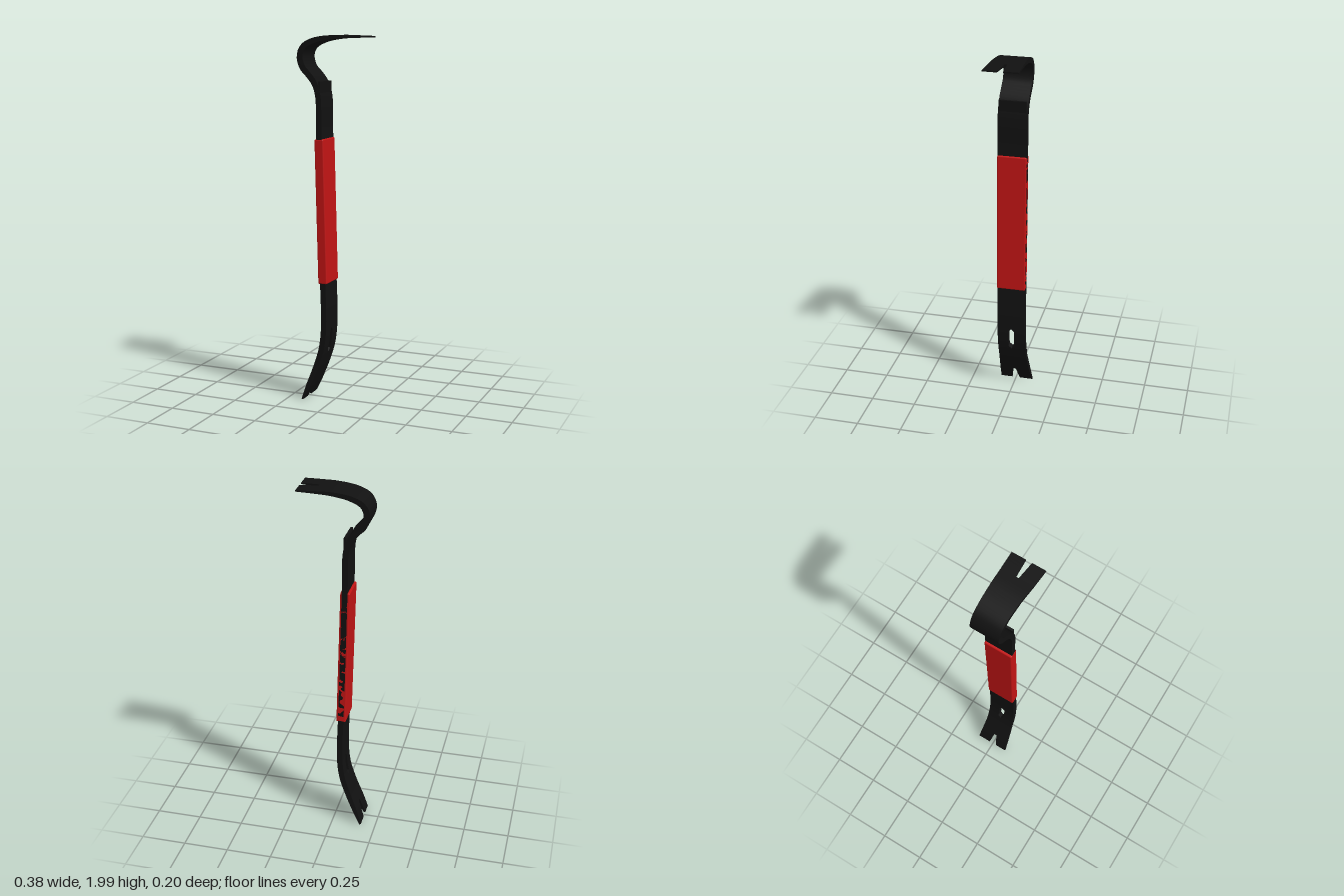
import * as THREE from 'three';
import { toCreasedNormals } from 'three/addons/utils/BufferGeometryUtils.js';
import { RoundedBoxGeometry } from 'three/addons/geometries/RoundedBoxGeometry.js';

// Centre line of the bar in the xy plane, from the lower claw to the hooked claw
const path = new THREE.CatmullRomCurve3([
  [-0.165, 0.005], [-0.125, 0.10], [-0.085, 0.2], [-0.054, 0.3], [-0.041, 0.4], [-0.04, 0.52],
  [-0.046, 0.7], [-0.056, 1.08], [-0.066, 1.5], [-0.071, 1.68], [-0.092, 1.745], [-0.127, 1.79],
  [-0.162, 1.828], [-0.178, 1.888], [-0.157, 1.938], [-0.098, 1.969], [0, 1.986],
  [0.09, 1.988], [0.187, 1.988],
].map(([x, y]) => new THREE.Vector3(x, y, 0)), false, 'centripetal');
path.arcLengthDivisions = 800;
const L = path.getLength();

// Distance along the bar, rear edge z, front edge z, thickness
const profile = [
  [0, -0.098, 0.088, 0.009], [0.08, -0.09, 0.084, 0.024], [0.22, -0.08, 0.078, 0.031],
  [1.7, -0.08, 0.078, 0.031], [L - 0.42, -0.085, 0.072, 0.034], [L - 0.3, -0.087, 0.073, 0.029],
  [L - 0.19, -0.088, 0.08, 0.021], [L - 0.1, -0.088, 0.09, 0.014], [L, -0.09, 0.098, 0.007],
];

function sectionAt(s) {
  let i = 0;
  while (i < profile.length - 2 && s > profile[i + 1][0]) i++;
  const a = profile[i], b = profile[i + 1];
  const t = (s - a[0]) / (b[0] - a[0]);
  return [1, 2, 3].map(k => a[k] + (b[k] - a[k]) * t);
}

// Sweep a rectangular section between two distances; rear/front override the edges
function strip(s0, s1, { rear, front } = {}) {
  const n = Math.max(4, Math.ceil((s1 - s0) / 0.018));
  const pos = [], index = [];
  for (let i = 0; i <= n; i++) {
    const s = s0 + (s1 - s0) * i / n;
    const p = path.getPointAt(s / L), t = path.getTangentAt(s / L);
    const [lo, hi, thick] = sectionAt(s);
    const z0 = rear ? rear(s) : lo, z1 = front ? front(s) : hi;
    const nx = -t.y * thick / 2, ny = t.x * thick / 2;
    pos.push(p.x + nx, p.y + ny, z1, p.x + nx, p.y + ny, z0,
      p.x - nx, p.y - ny, z0, p.x - nx, p.y - ny, z1);
    if (i === n) continue;
    for (let k = 0; k < 4; k++) {
      const a = i * 4 + k, b = i * 4 + (k + 1) % 4;
      index.push(a, b + 4, b, a, a + 4, b + 4);
    }
  }
  const e = n * 4;
  index.push(0, 1, 2, 0, 2, 3, e, e + 2, e + 1, e, e + 3, e + 2);
  const g = new THREE.BufferGeometry();
  g.setAttribute('position', new THREE.Float32BufferAttribute(pos, 3));
  g.setIndex(index);
  return toCreasedNormals(g, 0.6);
}

export function createModel() {
  const model = new THREE.Group();
  model.name = 'pryBar';
  const steel = new THREE.MeshStandardMaterial({ color: 0x111111 });
  const red = new THREE.MeshStandardMaterial({ color: 0xc01414 });
  const add = (name, geometry, material = steel) => {
    const mesh = new THREE.Mesh(geometry, material);
    mesh.name = name;
    model.add(mesh);
    return mesh;
  };

  const lowNotch = 0.1, holeStart = 0.288, holeEnd = 0.425, topNotch = L - 0.1;

  // Lower claw: two prongs beside a flaring notch
  const flare = s => 0.009 + 0.013 * (1 - s / lowNotch);
  add('lowerClawRearProng', strip(0, lowNotch, { front: s => -flare(s) }));
  add('lowerClawFrontProng', strip(0, lowNotch, { rear: flare }));
  add('lowerBlade', strip(lowNotch, holeStart));

  // Nail slot: round-ended opening between two side strips
  const slot = s => {
    const d = Math.min(s - holeStart, holeEnd - s, 0.017);
    return Math.sqrt(Math.max(0, 0.017 ** 2 - (0.017 - d) ** 2));
  };
  add('nailSlotRearSide', strip(holeStart, holeEnd, { front: s => -slot(s) }));
  add('nailSlotFrontSide', strip(holeStart, holeEnd, { rear: slot }));

  // Shank and hook in one bent piece
  add('shankAndHook', strip(holeEnd, topNotch));

  // Upper claw prongs
  const open = s => (s - topNotch) / 0.1;
  add('upperClawRearProng', strip(topNotch, L, { front: s => -0.007 - 0.004 * open(s) }));
  add('upperClawFrontProng', strip(topNotch, L, { rear: s => 0.009 + 0.012 * open(s) }));

  // Small raised shoulder under the hook
  const shoulder = add('shoulder', new THREE.BoxGeometry(0.012, 0.1, 0.15));
  shoulder.position.set(-0.064, 1.705, 0);

  // Red grip sleeve, leaning with the shank
  const grip = add('grip', new RoundedBoxGeometry(0.052, 0.785, 0.16, 3, 0.007), red);
  grip.position.set(-0.056, 1.058, 0);
  grip.rotation.z = Math.atan2(0.021, 0.785);

  return model;
}
